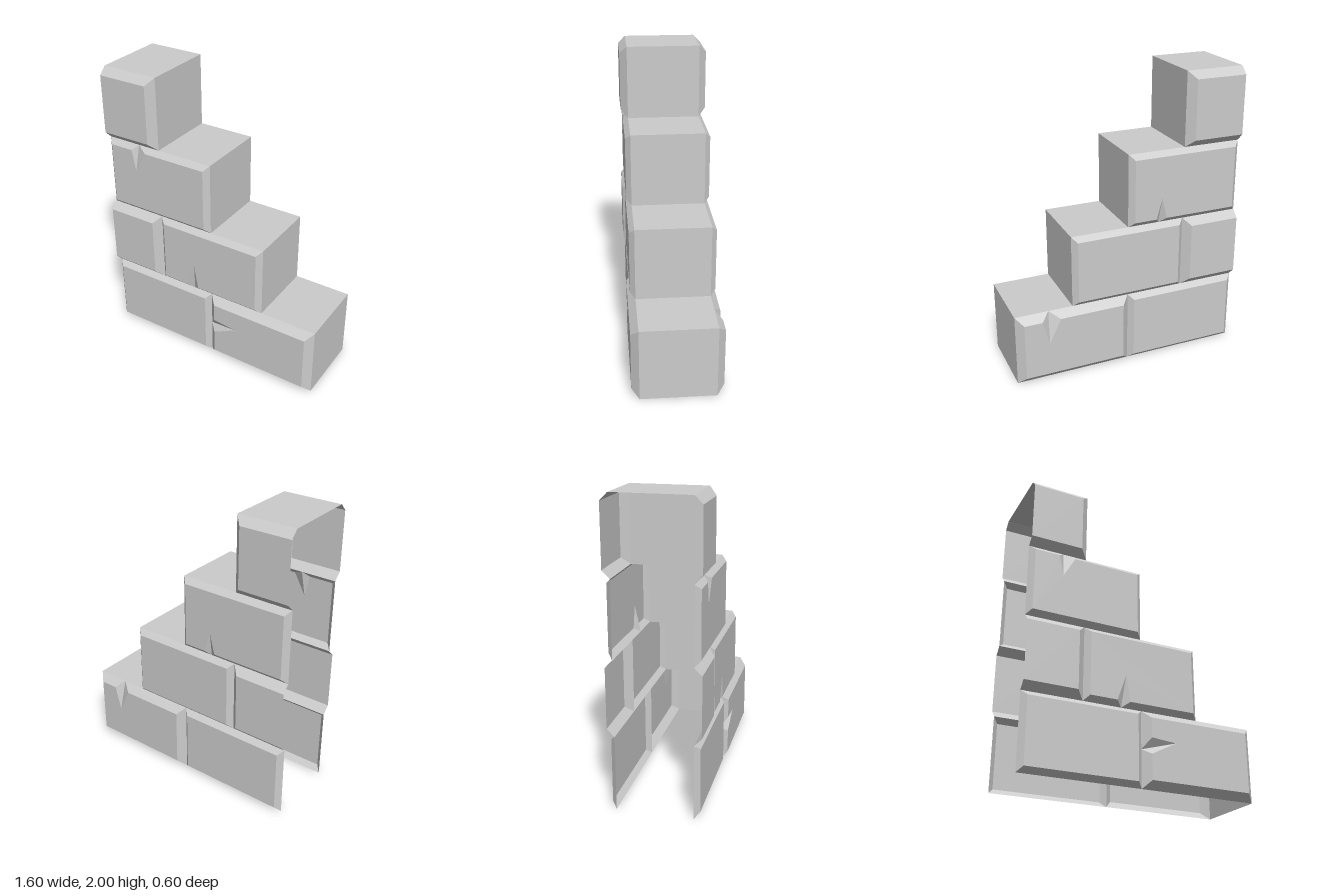
import * as THREE from 'three';

const LEFT = -0.8, ROW = 0.5, HALF = 0.25; // wall end, course height, half thickness of the core
const material = new THREE.MeshStandardMaterial({ color: 0xcccccc, flatShading: true, side: THREE.DoubleSide });

function makeMesh(name, positions) {
  const geometry = new THREE.BufferGeometry();
  geometry.setAttribute('position', new THREE.Float32BufferAttribute(positions, 3));
  geometry.computeVertexNormals();
  const mesh = new THREE.Mesh(geometry, material);
  mesh.name = name;
  return mesh;
}

// One raised, bevelled brick face; sides run bottom, right, top, left.
// A chip {side, a, p, b, tip} is a V-cut from p on the outer edge to tip on the face.
function brickFace(name, brick, facing, chip) {
  const { x0, x1, row, bevel, cut } = brick;
  const y0 = row * ROW, y1 = y0 + ROW, left = cut ? x0 : x0 + bevel;
  const outer = [[x0, y0], [x1, y0], [x1, y1], [x0, y1]].map(([x, y]) => [x, y, HALF]);
  const inner = [[left, y0 + bevel], [x1 - bevel, y0 + bevel], [x1 - bevel, y1 - bevel], [left, y1 - bevel]]
    .map(([x, y]) => [x, y, HALF + bevel]);
  const positions = [];
  const tri = (...corners) => {
    if (facing < 0) corners.reverse();
    for (const [x, y, z] of corners) positions.push(x, y, z * facing);
  };

  const rim = [];
  for (let i = 0; i < 4; i++) {
    const j = (i + 1) % 4;
    rim.push(inner[i]);
    if (chip && chip.side === i) {
      const p = [...chip.p, HALF];
      const [a, b, tip] = [chip.a, chip.b, chip.tip].map((q) => [...q, HALF + bevel]);
      tri(outer[i], p, a);
      tri(outer[i], a, inner[i]);
      tri(p, outer[j], inner[j]);
      tri(p, inner[j], b);
      tri(p, tip, a);
      tri(p, b, tip);
      rim.push(a, tip, b);
    } else if (!(cut && i === 3)) { // half bricks stay open at the wall end
      tri(outer[i], outer[j], inner[j]);
      tri(outer[i], inner[j], inner[i]);
    }
  }
  const flat = rim.map(([x, y]) => new THREE.Vector2(x, y));
  for (const [a, b, c] of THREE.ShapeUtils.triangulateShape(flat, [])) tri(rim[a], rim[b], rim[c]);
  return makeMesh(name, positions);
}

export function createModel() {
  const group = new THREE.Group();
  group.name = 'steppedBrickWall';

  // Bricks course by course, with chips on the front or back face
  const bricks = [
    { x0: LEFT, x1: 0, row: 0, bevel: 0.035 },
    { x0: 0, x1: 0.8, row: 0, bevel: 0.05,
      front: { side: 3, a: [0.05, 0.32], p: [0, 0.25], b: [0.05, 0.215], tip: [0.22, 0.305] },
      back: { side: 2, a: [0.625, 0.45], p: [0.57, 0.5], b: [0.5, 0.45], tip: [0.58, 0.28] } },
    { x0: LEFT, x1: -0.4, row: 1, bevel: 0.05, cut: true },
    { x0: -0.4, x1: 0.4, row: 1, bevel: 0.035,
      front: { side: 0, a: [-0.18, 0.535], p: [-0.14, 0.5], b: [-0.09, 0.535], tip: [-0.12, 0.71] } },
    { x0: LEFT, x1: 0, row: 2, bevel: 0.035,
      front: { side: 2, a: [-0.49, 1.465], p: [-0.56, 1.5], b: [-0.6, 1.465], tip: [-0.57, 1.32] },
      back: { side: 0, a: [-0.265, 1.035], p: [-0.22, 1], b: [-0.19, 1.035], tip: [-0.23, 1.18] } },
    { x0: LEFT, x1: -0.4, row: 3, bevel: 0.05, cut: true },
  ];
  for (const brick of bricks) {
    group.add(brickFace('frontBrick', brick, 1, brick.front));
    group.add(brickFace('backBrick', brick, -1, brick.back));
  }

  // Risers and treads; the wall is open underneath and at its tall end
  const profile = [];
  for (let row = 0; row < 4; row++) {
    const x = 0.8 - row * 0.4;
    profile.push([x, row * ROW], [x, (row + 1) * ROW]);
  }
  profile.push([LEFT, 2]);
  const steps = [];
  for (let i = 0; i < profile.length - 1; i++) {
    const [ax, ay] = profile[i], [bx, by] = profile[i + 1];
    steps.push(ax, ay, HALF, ax, ay, -HALF, bx, by, -HALF);
    steps.push(ax, ay, HALF, bx, by, -HALF, bx, by, HALF);
  }
  group.add(makeMesh('steps', steps));
  return group;
}
